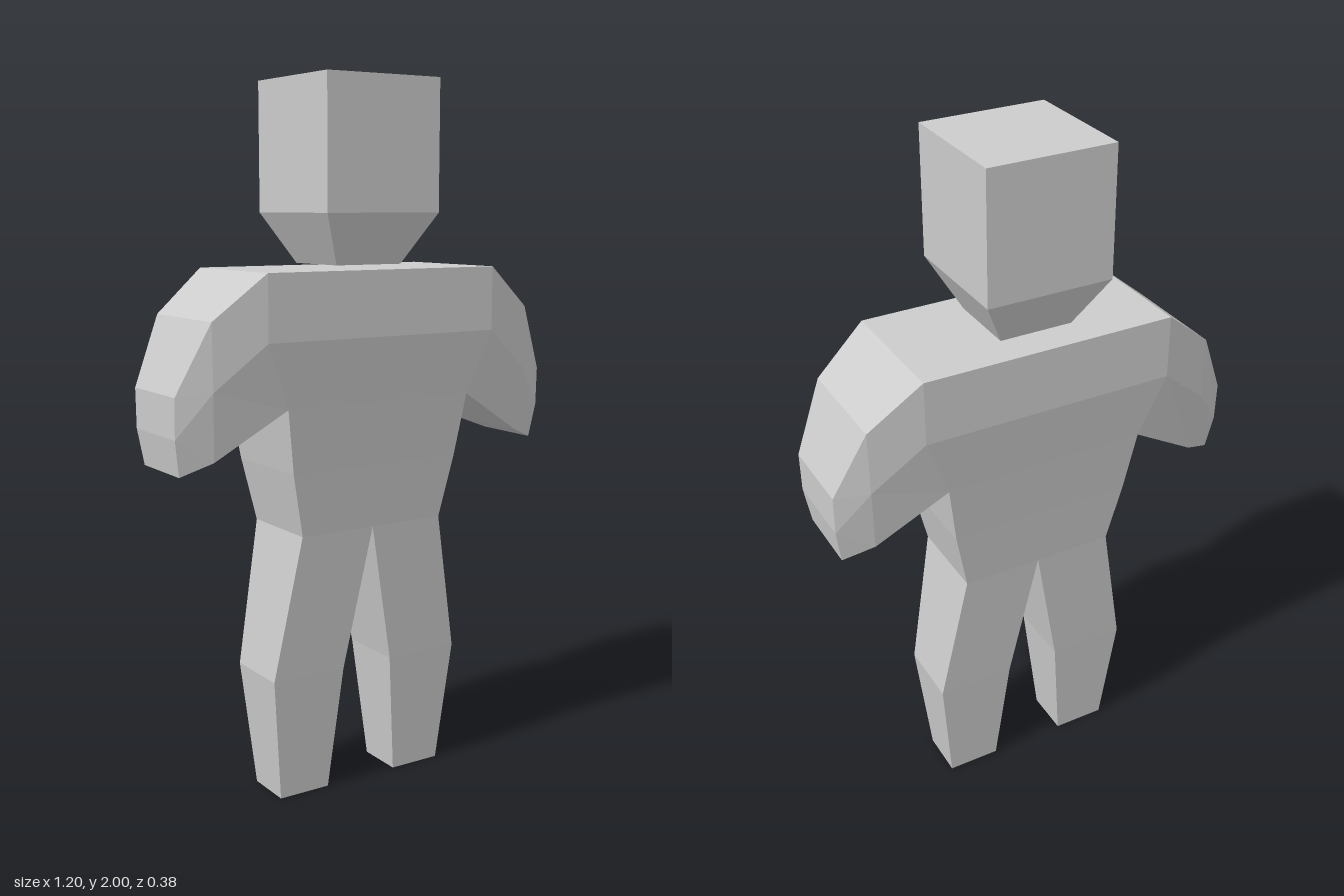
import * as THREE from 'three';

const material = new THREE.MeshStandardMaterial({ color: 0xcccccc, flatShading: true });

// Faceted slab, symmetric front to back. rows run top to bottom, points run
// from -x to +x, each point is [x, y, half depth]. rim lists the closed sides.
function slab(name, rows, rim) {
  const pos = [];
  const F = ([x, y, d]) => [x, y, d];
  const B = ([x, y, d]) => [x, y, -d];
  const quad = (a, b, c, d) => pos.push(...a, ...b, ...c, ...a, ...c, ...d);
  const m = rows.length - 1, n = rows[0].length - 1;
  for (let i = 0; i < m; i++) {
    for (let j = 0; j < n; j++) {
      const a = rows[i][j], b = rows[i + 1][j], c = rows[i + 1][j + 1], d = rows[i][j + 1];
      quad(F(a), F(b), F(c), F(d));
      quad(B(d), B(c), B(b), B(a));
    }
  }
  const edges = {
    left: rows.map(r => r[0]),
    bottom: rows[m],
    right: rows.map(r => r[n]).reverse(),
    top: [...rows[0]].reverse(),
  };
  for (const side of rim) {
    const e = edges[side];
    for (let k = 0; k < e.length - 1; k++) quad(F(e[k]), B(e[k]), B(e[k + 1]), F(e[k + 1]));
  }
  const g = new THREE.BufferGeometry();
  g.setAttribute('position', new THREE.Float32BufferAttribute(pos, 3));
  g.computeVertexNormals();
  const mesh = new THREE.Mesh(g, material);
  mesh.name = name;
  return mesh;
}

// Row of two points, symmetric about x = 0
const span = ([x, y, d]) => [[-x, y, d], [x, y, d]];
const mirrorRows = rows => rows.map(r => r.map(([x, y, d]) => [-x, y, d]).reverse());

export function createModel() {
  const model = new THREE.Group();
  model.name = 'blockFigure';

  // Head with tapered jaw
  model.add(slab('head', [[0.18, 2, 0.18], [0.18, 1.64, 0.18], [0.105, 1.5, 0.105]].map(span),
    ['left', 'right', 'top', 'bottom']));

  // Chest, open where the arms join, and tapering waist
  model.add(slab('chest', [[0.365, 1.49, 0.19], [0.365, 1.31, 0.19], [0.295, 1.13, 0.168]].map(span), ['top']));
  model.add(slab('waist', [[0.295, 1.13, 0.168], [0.268, 0.95, 0.147], [0.23, 0.77, 0.128]].map(span),
    ['left', 'right']));

  // Arms: shoulder, elbow and hand sections
  const arm = [
    [[0.365, 1.49, 0.19], [0.512, 1.37, 0.16], [0.6, 1.18, 0.12]],
    [[0.365, 1.31, 0.19], [0.51, 1.19, 0.16], [0.6, 1.07, 0.117]],
    [[0.295, 1.13, 0.168], [0.5, 1.005, 0.137], [0.585, 0.97, 0.105]],
  ];
  model.add(slab('leftArm', arm, ['top', 'right', 'bottom']));
  model.add(slab('rightArm', mirrorRows(arm), ['top', 'left', 'bottom']));

  // Legs: hip, knee and foot sections
  const leg = [
    [[0, 0.77, 0.128], [0.23, 0.77, 0.128]],
    [[0.08, 0.36, 0.1], [0.307, 0.36, 0.1]],
    [[0.115, 0, 0.07], [0.272, 0, 0.07]],
  ];
  const legRim = ['left', 'right', 'bottom'];
  model.add(slab('leftLeg', leg, legRim));
  model.add(slab('rightLeg', mirrorRows(leg), legRim));

  return model;
}
